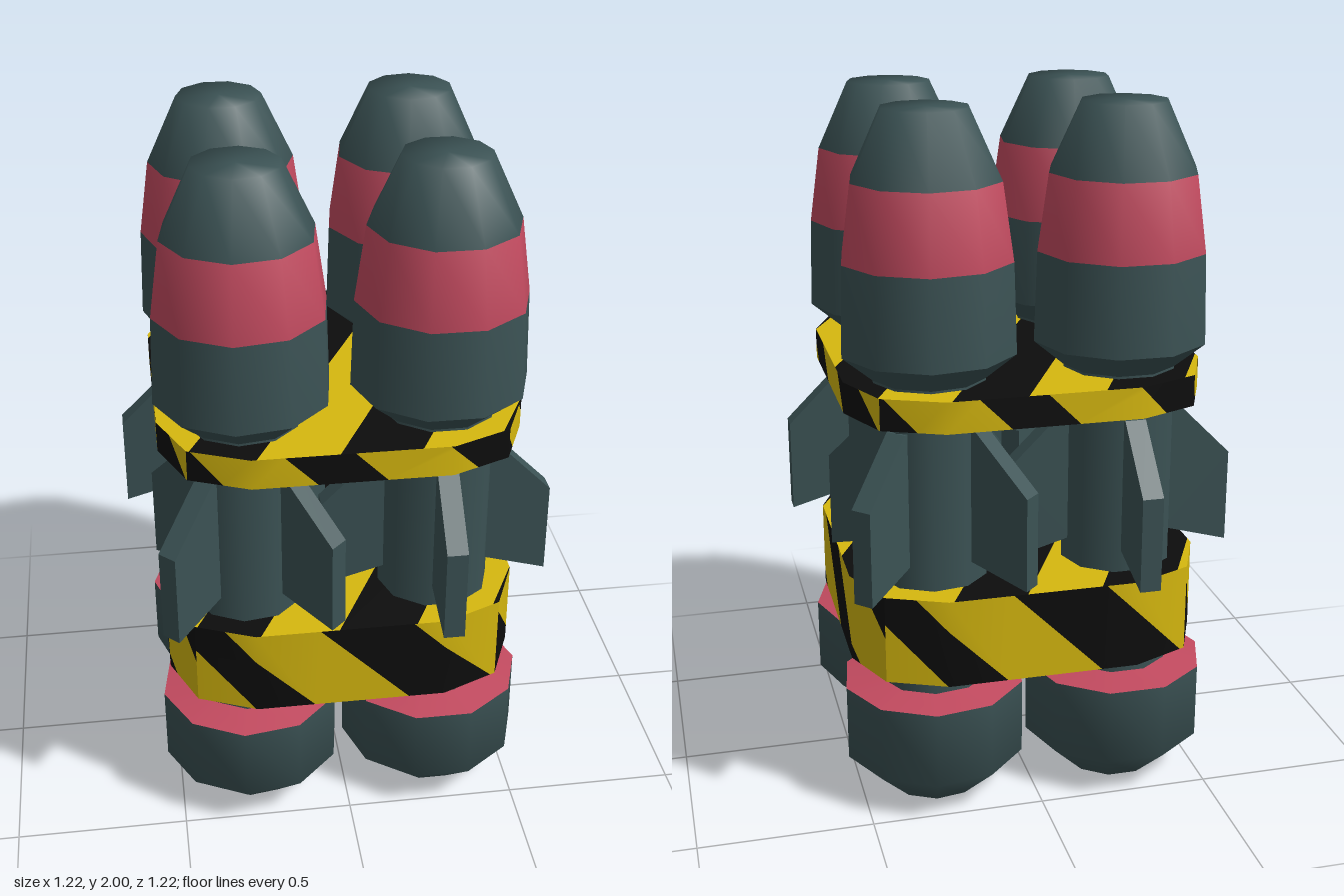
import * as THREE from 'three';
import { toCreasedNormals } from 'three/addons/utils/BufferGeometryUtils.js';

const paint = (name, color) => {
  const m = new THREE.MeshStandardMaterial({ color });
  m.name = name;
  return m;
};
const SIDES = 10;
const SPACING = 0.275;

// Lathe whose profile segments each pick a material index
function lathe(profile, slots) {
  const geo = new THREE.LatheGeometry(profile.map(p => new THREE.Vector2(...p)), SIDES, Math.PI / SIDES);
  const n = slots.length;
  for (let i = 0; i < SIDES; i++) slots.forEach((m, j) => geo.addGroup((i * n + j) * 6, 6, m));
  return geo;
}

// Keep the part of a convex polygon where sign * (s - limit) >= 0; points are [x, y, z, s]
function clip(poly, limit, sign) {
  const out = [];
  poly.forEach((a, i) => {
    const b = poly[(i + 1) % poly.length];
    const da = sign * (a[3] - limit), db = sign * (b[3] - limit);
    if (da >= 0) out.push(a);
    if (da * db < 0) out.push(a.map((v, k) => v + (b[k] - v) * da / (da - db)));
  });
  return out;
}

// Polygons cut into yellow bands on black; bands are [from, to] along s
function striped(polys, bands) {
  const pos = [[], []];
  const add = (poly, slot) => {
    for (let i = 1; i < poly.length - 1; i++)
      for (const p of [poly[0], poly[i], poly[i + 1]]) pos[slot].push(p[0], p[1], p[2]);
  };
  for (const poly of polys) {
    let start = -9;
    for (const [from, to] of [...bands, [9, 10]]) {
      add(clip(clip(poly, start, 1), from, -1), 0);
      add(clip(clip(poly, from, 1), to, -1), 1);
      start = to;
    }
  }
  const geo = new THREE.BufferGeometry();
  geo.setAttribute('position', new THREE.Float32BufferAttribute([...pos[0], ...pos[1]], 3));
  geo.addGroup(0, pos[0].length / 3, 0);
  geo.addGroup(pos[0].length / 3, pos[1].length / 3, 1);
  geo.computeVertexNormals();
  return toCreasedNormals(geo, 0.6);
}

export function createModel() {
  const teal = paint('dark teal', 0x3b5254);
  const red = paint('red', 0xc24a5f);
  const yellow = paint('hazard yellow', 0xd6b80f);
  const black = paint('hazard black', 0x0d0d0d);
  const model = new THREE.Group();
  const add = (parent, name, geo, mat) => {
    const mesh = new THREE.Mesh(geo, mat);
    mesh.name = name;
    parent.add(mesh);
    return mesh;
  };

  // Rocket parts
  const two = [teal, red];
  const shaft = lathe([[0.163, 0.3], [0.163, 1.28]], [0]);
  const bellBottom = lathe([[0, 0], [0.14, 0]], [1]);
  const bell = lathe([[0.14, 0], [0.268, 0.12], [0.268, 0.345]], [0, 0]);
  const bellTop = lathe([[0.268, 0.345], [0.155, 0.36]], [1]);
  const flare = lathe([[0.155, 1.26], [0.25, 1.34]], [0]);
  const nose = lathe([[0.25, 1.34], [0.242, 1.595], [0.211, 1.81], [0.122, 2], [0, 2]], [0, 1, 0, 0]);

  // Swept fin plate
  const finShape = new THREE.Shape([[0.14, 0.75], [0.335, 0.695], [0.335, 0.97], [0.165, 1.14], [0.14, 1.14]]
    .map(p => new THREE.Vector2(...p)));
  const fin = new THREE.ExtrudeGeometry(finShape, { depth: 0.06, bevelEnabled: false });
  fin.translate(0, 0, -0.03);

  // Four rockets; one diagonal pair is turned by 45 degrees
  for (const sx of [-1, 1]) for (const sz of [-1, 1]) {
    const rocket = new THREE.Group();
    rocket.name = `${sz > 0 ? 'front' : 'back'}${sx > 0 ? 'Left' : 'Right'}Rocket`;
    add(rocket, 'shaft', shaft, two);
    add(rocket, 'exhaustOpening', bellBottom, two);
    add(rocket, 'engineBell', bell, two);
    add(rocket, 'engineCollar', bellTop, two);
    add(rocket, 'noseFlare', flare, two);
    add(rocket, 'noseCone', nose, two);
    for (let i = 0; i < 4; i++) add(rocket, 'fin', fin, teal).rotation.y = i * Math.PI / 2;
    rocket.position.set(sx * SPACING, 0, sz * SPACING);
    rocket.rotation.y = sx === sz ? 0 : Math.PI / 4;
    model.add(rocket);
  }

  // Striped clamps holding the rockets together
  const edge = [[-0.443, 0.443], [-SPACING, 0.515], [SPACING, 0.515], [0.443, 0.443]];
  const along = [-0.456, -SPACING, SPACING, 0.456];
  const flatBands = [[-0.9, -0.57], [-0.38, -0.187], [0, 0.2], [0.4, 0.58]];
  const clamps = [
    { name: 'lowerClamp', y0: 0.42, y1: 0.68, front: [[-0.6, -0.41], [-0.237, 0.04], [0.31, 0.7]], side: [[-0.36, -0.07], [0.19, 0.46]] },
    { name: 'upperClamp', y0: 1.17, y1: 1.26, front: [[-0.4, -0.14], [0.05, 0.31]], side: [[-0.44, -0.27], [-0.07, 0.22], [0.4, 0.6]] },
  ];
  for (const { name, y0, y1, front, side } of clamps) {
    const clamp = new THREE.Group();
    clamp.name = name;
    model.add(clamp);
    const mid = (y0 + y1) / 2;

    // Walls: three facets per side, slanted stripes
    const facets = [0, 1, 2].map(i => {
      const corner = (k, y) => [edge[k][0], y, edge[k][1], along[k] + y - mid];
      return [corner(i, y0), corner(i + 1, y0), corner(i + 1, y1), corner(i, y1)];
    });
    for (let i = 0; i < 4; i++)
      add(clamp, 'clampWall', striped(facets, i % 2 ? side : front), [black, yellow]).rotation.y = i * Math.PI / 2;

    // Top and bottom faces
    const outline = [];
    for (let i = 0; i < 4; i++) for (const [x, z] of edge.slice(0, 3)) {
      const v = new THREE.Vector3(x, 0, z).applyAxisAngle(new THREE.Vector3(0, 1, 0), i * Math.PI / 2);
      outline.push([v.x, v.z]);
    }
    const face = y => outline.map(([x, z]) => [x, y, z, 0.89 * x + 0.45 * z]);
    add(clamp, 'clampTop', striped([face(y1)], flatBands), [black, yellow]);
    add(clamp, 'clampBottom', striped([face(y0).reverse()], flatBands), [black, yellow]);
  }
  return model;
}
